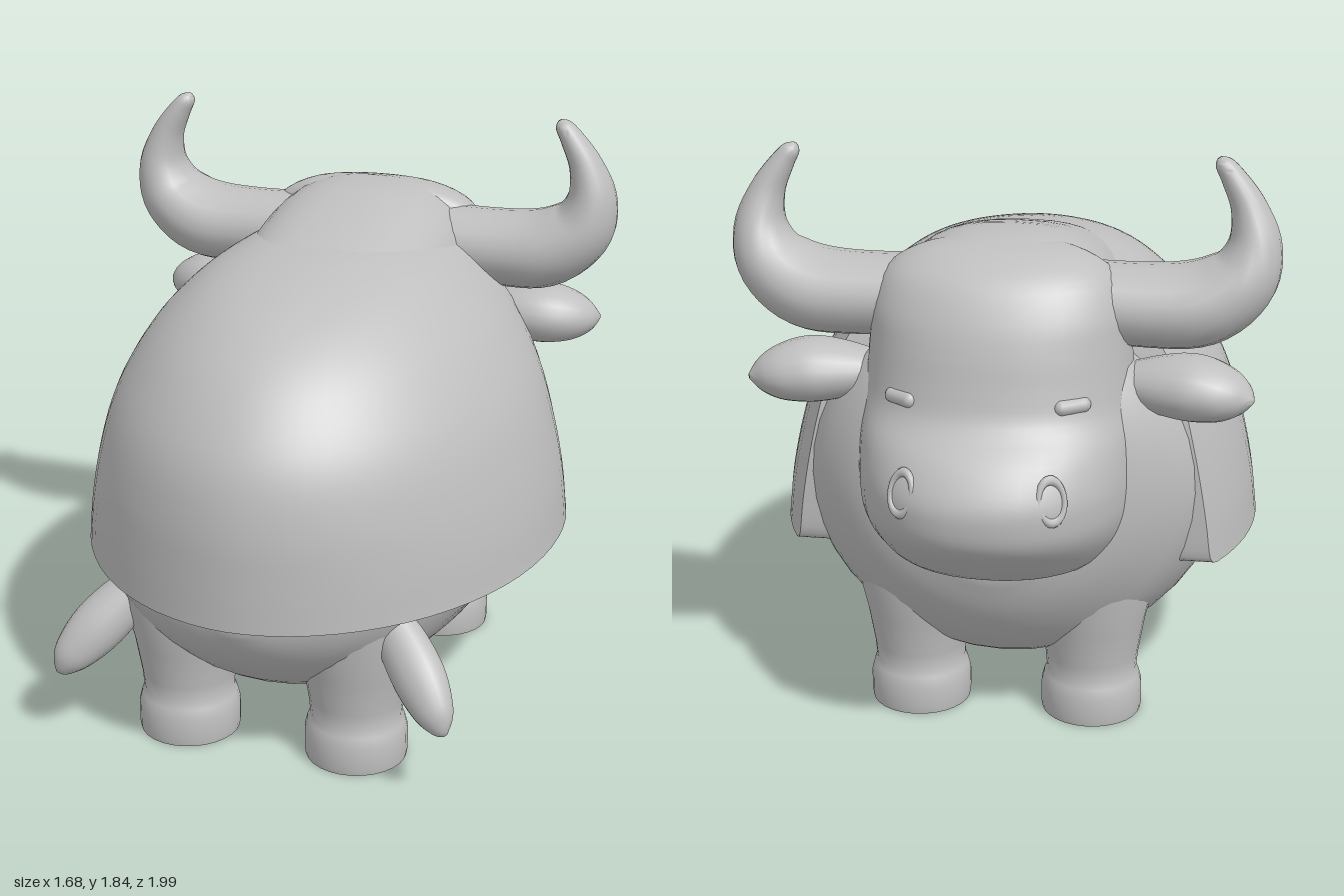
import * as THREE from 'three';
import { toCreasedNormals } from 'three/addons/utils/BufferGeometryUtils.js';

const grey = new THREE.MeshStandardMaterial({ color: 0xbfbfbf });
grey.name = 'grey';

// Smoothly subdivide a table of section rows (Catmull-Rom on each column)
function refine(rows, steps = 4) {
  const at = (i) => rows[Math.min(rows.length - 1, Math.max(0, i))];
  const out = [];
  for (let i = 0; i < rows.length - 1; i++) {
    const [a, b, c, d] = [at(i - 1), at(i), at(i + 1), at(i + 2)];
    for (let s = 0; s < steps; s++) {
      const t = s / steps;
      out.push(b.map((p, k) => p + 0.5 * t * (c[k] - a[k]
        + t * (2 * a[k] - 5 * p + 4 * c[k] - d[k]
        + t * (3 * (p - c[k]) + d[k] - a[k])))));
    }
  }
  out.push(at(rows.length - 1));
  return out;
}

// Closed skin over rings of points, always wound outwards
function loft(rings, crease = 0.8) {
  const n = rings[0].length;
  const tris = [];
  for (let i = 0; i < rings.length - 1; i++) {
    for (let j = 0; j < n; j++) {
      const k = (j + 1) % n;
      const a = rings[i][j], b = rings[i][k], c = rings[i + 1][k], d = rings[i + 1][j];
      tris.push([a, b, c], [a, c, d]);
    }
  }
  const centre = (r) => r.reduce((s, p) => s.add(p), new THREE.Vector3()).divideScalar(n);
  const first = rings[0], last = rings[rings.length - 1];
  const c0 = centre(first), c1 = centre(last);
  for (let j = 0; j < n; j++) {
    const k = (j + 1) % n;
    tris.push([c0, first[k], first[j]], [c1, last[j], last[k]]);
  }
  const cross = new THREE.Vector3();
  const volume = tris.reduce((v, [a, b, c]) => v + a.dot(cross.crossVectors(b, c)), 0);
  const pts = tris.flatMap(([a, b, c]) => (volume > 0 ? [a, b, c] : [a, c, b]));
  return toCreasedNormals(new THREE.BufferGeometry().setFromPoints(pts), crease);
}

// Ring of points from a function of angle
function ring(n, f) {
  return Array.from({ length: n }, (_, i) => new THREE.Vector3(...f((i / n) * Math.PI * 2)));
}
const pw = (v, e) => Math.sign(v) * Math.abs(v) ** e;

// Tapered limb along rows of [x, y, z, radius]; depth scales the radius along z
function limb(rows, side, depth) {
  const path = refine(rows, 5);
  const rings = path.map(([x, y, z, r], i) => {
    const p = path[Math.max(0, i - 1)], q = path[Math.min(path.length - 1, i + 1)];
    const dir = new THREE.Vector3(q[0] - p[0], q[1] - p[1], q[2] - p[2]).normalize();
    const u = new THREE.Vector3(-dir.y, dir.x, 0).normalize();
    const v = new THREE.Vector3().crossVectors(dir, u);
    return ring(20, (t) => {
      const c = Math.cos(t) * r, s = Math.sin(t) * r * depth;
      return [side * (x + u.x * c + v.x * s), y + u.y * c + v.y * s, z + u.z * c + v.z * s];
    });
  });
  return loft(rings, 1.2);
}

export function createModel() {
  const model = new THREE.Group();
  model.name = 'hornedBull';
  const add = (name, geometry) => {
    const mesh = new THREE.Mesh(geometry, grey);
    mesh.name = name;
    model.add(mesh);
    return mesh;
  };

  // Body: rows of [z, half width, bottom, top]
  const body = refine([
    [0.935, 0.06, 0.51, 0.6], [0.89, 0.28, 0.42, 0.8], [0.8, 0.44, 0.32, 1.0],
    [0.6, 0.57, 0.19, 1.15], [0.3, 0.65, 0.14, 1.25], [0, 0.68, 0.13, 1.3],
    [-0.25, 0.67, 0.145, 1.32], [-0.45, 0.61, 0.21, 1.37], [-0.56, 0.53, 0.3, 1.38],
    [-0.65, 0.4, 0.43, 1.25], [-0.7, 0.2, 0.56, 1.0],
  ]).map(([z, w, b, t]) => ring(40, (a) =>
    [w * Math.cos(a), (b + t) / 2 + ((t - b) / 2) * Math.sin(a), z]));
  add('body', loft(body, 1));

  // Blanket: horizontal sections cut off at the front, rows of [y, half width, back z, front z]
  const blanket = refine([
    [0.55, 0.78, 0.992, -0.42], [0.575, 0.777, 0.992, -0.45], [0.7, 0.762, 0.992, -0.457],
    [0.85, 0.73, 0.988, -0.455], [1.0, 0.685, 0.96, -0.445], [1.12, 0.63, 0.9, -0.42],
    [1.25, 0.545, 0.79, -0.39], [1.35, 0.45, 0.65, -0.35], [1.42, 0.36, 0.48, -0.3],
    [1.47, 0.25, 0.27, -0.22], [1.495, 0.12, 0.1, -0.1], [1.5, 0.03, 0.02, -0.03],
  ]).map(([y, w, back, front]) => {
    const start = Math.asin(front / 0.85);
    return Array.from({ length: 49 }, (_, i) => {
      const a = start + (i / 48) * (Math.PI - 2 * start);
      const s = Math.sin(a);
      return new THREE.Vector3(w * pw(Math.cos(a), s > 0 ? 1.06 : 1), y, s * (s > 0 ? back : 0.85));
    });
  });
  add('blanket', loft(blanket, 0.7));

  // Neck hump running from the crown back over the shoulders: [z, half width, top]
  const hump = refine([
    [0.42, 0.28, 1.36], [0.25, 0.33, 1.45], [0.1, 0.35, 1.5], [-0.02, 0.36, 1.53],
    [-0.15, 0.37, 1.56], [-0.3, 0.375, 1.587], [-0.45, 0.37, 1.588], [-0.56, 0.33, 1.56],
  ]).map(([z, w, t]) => ring(44, (a) =>
    [w * pw(Math.cos(a), 0.75), 1.2 + (t - 1.2) * pw(Math.sin(a), 0.75), z]));
  add('neckHump', loft(hump, 1));

  // Head: horizontal sections, rows of [y, front z, half width]
  const head = refine([
    [0.56, -0.66, 0.24], [0.61, -0.79, 0.34], [0.7, -0.905, 0.4], [0.78, -0.98, 0.425],
    [0.86, -1.0, 0.433], [0.93, -0.99, 0.433], [1.02, -0.93, 0.43], [1.11, -0.835, 0.42],
    [1.2, -0.803, 0.41], [1.3, -0.78, 0.4], [1.4, -0.745, 0.39], [1.5, -0.68, 0.34],
    [1.56, -0.58, 0.23], [1.585, -0.47, 0.07],
  ]).map(([y, f, w]) => ring(44, (a) => {
    const s = pw(Math.sin(a), 0.93);
    return [w * pw(Math.cos(a), 0.93), y, -0.45 + s * (s > 0 ? 0.1 : -0.45 - f)];
  }));
  add('head', loft(head, 1));

  // Legs with a rounded hoof
  const leg = [[0, 0], [0.16, 0], [0.163, 0.02], [0.163, 0.09], [0.154, 0.125],
    [0.145, 0.145], [0.15, 0.2], [0.17, 0.32], [0.2, 0.45], [0.21, 0.6], [0, 0.62]];
  const legGeometry = toCreasedNormals(
    new THREE.LatheGeometry(leg.map(([r, y]) => new THREE.Vector2(r, y)), 28), 0.8);

  for (const side of [1, -1]) {
    const label = side > 0 ? 'left' : 'right';
    add(label + 'HindLeg', legGeometry).position.set(side * 0.282, 0, 0.615);
    add(label + 'ForeLeg', legGeometry).position.set(side * 0.282, 0, -0.38);

    add(label + 'Horn', limb([
      [0.2, 1.395, -0.42, 0.12], [0.45, 1.385, -0.42, 0.127], [0.61, 1.4, -0.415, 0.13],
      [0.72, 1.475, -0.41, 0.112], [0.757, 1.58, -0.4, 0.083], [0.735, 1.69, -0.39, 0.055],
      [0.685, 1.78, -0.385, 0.037], [0.655, 1.82, -0.385, 0.026], [0.645, 1.837, -0.385, 0.008],
    ], side, 1.25));

    // Broad leaf-shaped ear
    add(label + 'Ear', limb([
      [0.36, 1.15, -0.46, 0.05], [0.48, 1.15, -0.47, 0.085], [0.59, 1.15, -0.485, 0.1],
      [0.68, 1.142, -0.51, 0.085], [0.74, 1.137, -0.53, 0.052], [0.775, 1.135, -0.545, 0.008],
    ], side, 1.35));

    // Drooping flap at the rear
    add(label + 'TailFlap', limb([
      [0.36, 0.56, 0.66, 0.05], [0.45, 0.465, 0.71, 0.078], [0.53, 0.375, 0.77, 0.085],
      [0.59, 0.3, 0.82, 0.065], [0.62, 0.257, 0.84, 0.035], [0.635, 0.24, 0.845, 0.008],
    ], side, 0.85));

    // Narrow closed eye and nostril rim
    const eye = add(label + 'Eye', new THREE.CapsuleGeometry(0.025, 0.07, 6, 12));
    eye.rotation.set(0, -side * 0.62, Math.PI / 2, 'YXZ');
    eye.position.set(side * 0.255, 1.16, -0.732);

    const nostril = add(label + 'Nostril', new THREE.TorusGeometry(0.05, 0.012, 8, 24));
    nostril.scale.set(0.8, 1.25, 1);
    nostril.rotation.set(0.25, -side * 0.5, 0, 'YXZ');
    nostril.position.set(side * 0.22, 0.93, -0.915);
  }
  return model;
}
